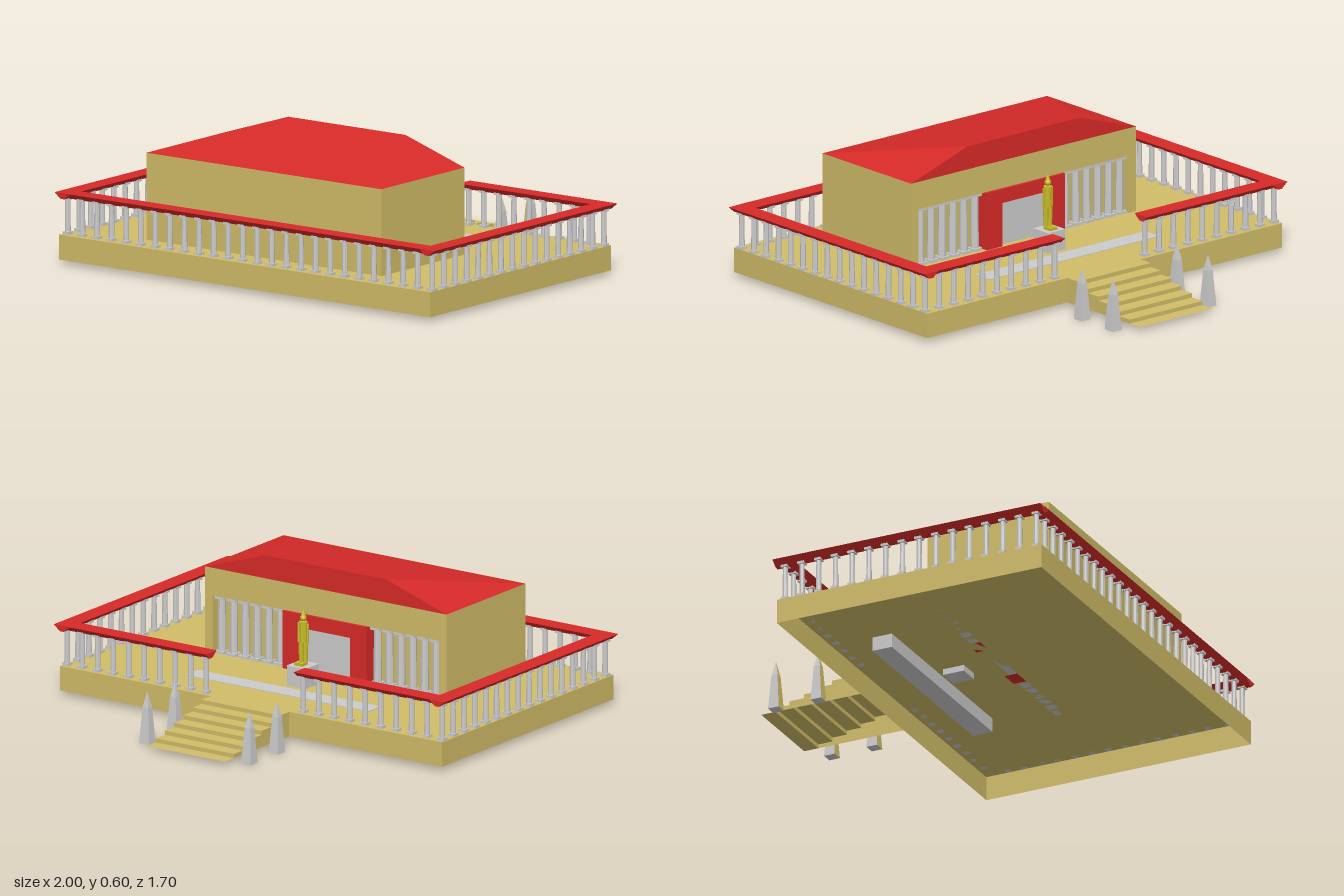
import * as THREE from 'three';
import { mergeGeometries } from 'three/addons/utils/BufferGeometryUtils.js';
import { ConvexGeometry } from 'three/addons/geometries/ConvexGeometry.js';

const mat = (color, side = THREE.FrontSide) =>
  new THREE.MeshStandardMaterial({ color, side, flatShading: true });
const grey = mat(0xcccccc);
const tan = mat(0xd0bc68);
const tanSheet = mat(0xd0bc68, THREE.DoubleSide);
const red = mat(0xd62a28);
const gold = mat(0xc8bc28);

const FLOOR = 0.126, GROUND = 0.02;

export function createModel() {
  const model = new THREE.Group();

  const add = (name, geometry, material, parent = model) => {
    const mesh = new THREE.Mesh(geometry, material);
    mesh.name = name;
    parent.add(mesh);
    return mesh;
  };
  const group = (name) => {
    const g = new THREE.Group();
    g.name = name;
    model.add(g);
    return g;
  };
  // box given by its limits on each axis
  const box = (name, [x0, x1], [y0, y1], [z0, z1], material, parent) => {
    const g = new THREE.BoxGeometry(x1 - x0, y1 - y0, z1 - z0);
    g.translate((x0 + x1) / 2, (y0 + y1) / 2, (z0 + z1) / 2);
    return add(name, g, material, parent);
  };
  // flat sheet through four corners
  const quad = (a, b, c, d) => {
    const g = new THREE.BufferGeometry();
    g.setAttribute('position', new THREE.Float32BufferAttribute([a, b, c, a, c, d].flat(), 3));
    g.computeVertexNormals();
    return g;
  };

  // Platform: floor and four walls, open underneath
  const [X0, X1, Z0, Z1] = [-0.98, 0.97, -0.39, 0.84];
  const corners = [[X0, Z1], [X1, Z1], [X1, Z0], [X0, Z0]];
  const sheets = corners.map(([x, z], i) => {
    const [u, w] = corners[(i + 1) % 4];
    return quad([x, GROUND, z], [u, GROUND, w], [u, FLOOR, w], [x, FLOOR, z]);
  });
  sheets.push(quad(...corners.map(([x, z]) => [x, FLOOR, z])));
  add('platform', mergeGeometries(sheets), tanSheet);

  // Stairs: folded treads and risers with side walls, hollow underneath
  const steps = [], count = 7, run = 0.066, rise = (FLOOR - GROUND) / (count - 1), W = 0.2;
  for (let i = 0; i < count; i++) {
    const y = FLOOR - i * rise, za = Z0 - i * run, zb = za - run;
    steps.push(quad([-W, y, za], [W, y, za], [W, y, zb], [-W, y, zb]));
    if (i === count - 1) continue;
    steps.push(quad([W, y - rise, zb], [-W, y - rise, zb], [-W, y, zb], [W, y, zb]));
    steps.push(quad([W, GROUND, za], [W, GROUND, zb], [W, y, zb], [W, y, za]));
    steps.push(quad([-W, GROUND, zb], [-W, GROUND, za], [-W, y, za], [-W, y, zb]));
  }
  add('stairs', mergeGeometries(steps), tanSheet);

  // Column: shaft with square foot and head
  const columnGeometry = (height, r) => {
    const foot = new THREE.BoxGeometry(r * 2.5, 0.012, r * 2.5);
    return mergeGeometries([
      new THREE.CylinderGeometry(r * 0.88, r, height, 8).translate(0, height / 2, 0),
      foot.clone().translate(0, 0.006, 0),
      foot.translate(0, height - 0.006, 0),
    ]);
  };
  const columnRow = (parent, geometry, [xa, za], [xb, zb], n) => {
    for (let i = 0; i < n; i++) {
      const t = i / (n - 1);
      add('column', geometry, grey, parent)
        .position.set(xa + (xb - xa) * t, FLOOR, za + (zb - za) * t);
    }
  };

  // Surrounding colonnade with a coping of inverted-wedge section
  const colonnade = group('colonnade');
  const post = columnGeometry(0.16, 0.0125);
  const [L, R, B, F] = [-0.96, 0.955, -0.36, 0.807];
  columnRow(colonnade, post, [L, F], [R, F], 26);
  columnRow(colonnade, post, [L, F - 0.078], [L, B], 15);
  columnRow(colonnade, post, [R, F - 0.078], [R, B], 15);
  columnRow(colonnade, post, [L + 0.077, B], [-0.25, B], 9);
  columnRow(colonnade, post, [R - 0.077, B], [0.245, B], 9);

  const wedge = new THREE.Shape([[-0.01, 0.28], [0.01, 0.28], [0.04, 0.305], [-0.04, 0.305]]
    .map(([x, y]) => new THREE.Vector2(x, y)));
  const coping = (x, z, length, alongX) => {
    const g = new THREE.ExtrudeGeometry(wedge, { depth: length, bevelEnabled: false });
    if (alongX) g.rotateY(Math.PI / 2);
    add('coping', g, red, colonnade).position.set(x, 0, z);
  };
  coping(L, -0.4, 1.245, false);
  coping(R, -0.4, 1.245, false);
  coping(-0.96, F, 1.915, true);
  coping(-0.96, B, 0.73, true);
  coping(0.22, B, 0.735, true);

  // Hall: walls, recessed facade and lintel
  const hall = group('hall');
  const [hx0, hx1, hz0, hz1, eave, head] = [-0.63, 0.605, 0.135, 0.70, 0.495, 0.375];
  const T = 0.04;
  box('rearWall', [hx0, hx1], [FLOOR, eave], [hz1 - T, hz1], tan, hall);
  box('sideWall', [hx0, hx0 + T], [FLOOR, eave], [hz0, hz1 - T], tan, hall);
  box('sideWall', [hx1 - T, hx1], [FLOOR, eave], [hz0, hz1 - T], tan, hall);
  box('lintel', [hx0 + T, hx1 - T], [head, eave], [hz0, hz0 + 0.06], tan, hall);
  box('recessedWall', [hx0 + T, hx1 - T], [FLOOR, eave], [0.18, 0.20], tan, hall);
  const slim = columnGeometry(head - FLOOR, 0.018);
  columnRow(hall, slim, [hx0 + 0.07, 0.16], [-0.26, 0.16], 6);
  columnRow(hall, slim, [hx1 - 0.07, 0.16], [0.235, 0.16], 6);

  // Hipped roof, cut off upright on the entrance side
  add('roof', new ConvexGeometry([
    [hx0, eave, hz1], [hx1, eave, hz1], [hx1, eave, hz0], [hx0, eave, hz0],
    [-0.32, 0.595, hz0], [0.295, 0.595, hz0],
  ].map((p) => new THREE.Vector3(...p))), red, hall);

  // Doorway
  const doorway = group('doorway');
  box('doorPost', [-0.23, -0.145], [FLOOR, head], [0.122, 0.18], red, doorway);
  box('doorPost', [0.115, 0.2], [FLOOR, head], [0.122, 0.18], red, doorway);
  box('doorHead', [-0.145, 0.115], [0.315, head], [0.122, 0.18], red, doorway);
  box('door', [-0.145, 0.115], [FLOOR, 0.315], [0.145, 0.18], grey, doorway);

  // Long stone slab let into the floor
  box('floorSlab', [-0.47, 0.465], [0.065, 0.129], [-0.2, -0.11], grey);

  // Standing figure on a pedestal
  box('pedestal', [-0.06, 0.035], [0.10, 0.213], [-0.077, 0.02], grey);
  const statue = group('statue');
  for (const s of [-1, 1]) {
    const leg = new THREE.CylinderGeometry(0.012, 0.009, 0.1, 8);
    add('leg', leg, gold, statue).position.set(s * 0.011, 0.05, 0);
    const foot = new THREE.BoxGeometry(0.016, 0.012, 0.045);
    add('foot', foot, gold, statue).position.set(s * 0.011, 0.006, -0.016);
    const arm = new THREE.CylinderGeometry(0.006, 0.006, 0.085, 6);
    add('arm', arm, gold, statue).position.set(s * 0.022, 0.135, 0);
  }
  add('torso', new THREE.CylinderGeometry(0.019, 0.016, 0.09, 10), gold, statue).position.y = 0.14;
  add('head', new THREE.SphereGeometry(0.014, 10, 8), gold, statue).position.y = 0.2;
  add('headdress', new THREE.ConeGeometry(0.011, 0.03, 8), gold, statue).position.y = 0.225;
  statue.position.set(-0.01, 0.213, -0.022);

  // Obelisks beside the stairs, with one tan face
  const spire = (r1, r0, y0, y1) => {
    const g = new THREE.CylinderGeometry(r1, r0, y1 - y0, 4, 1, true, Math.PI / 4);
    g.clearGroups();
    g.addGroup(0, 18, 0);
    g.addGroup(18, 6, 1);
    return g.translate(0, (y0 + y1) / 2, 0);
  };
  for (const x of [-0.257, 0.264]) {
    for (const z of [-0.755, -0.558]) {
      const obelisk = group('obelisk');
      add('obeliskShaft', spire(0.02, 0.035, 0, 0.155), [grey, tan], obelisk);
      add('obeliskTip', spire(0.0005, 0.02, 0.155, 0.22), [grey, tan], obelisk);
      const base = add('obeliskBase', new THREE.PlaneGeometry(0.0495, 0.0495), grey, obelisk);
      base.rotation.x = Math.PI / 2;
      obelisk.position.set(x, 0, z);
    }
  }
  return model;
}
